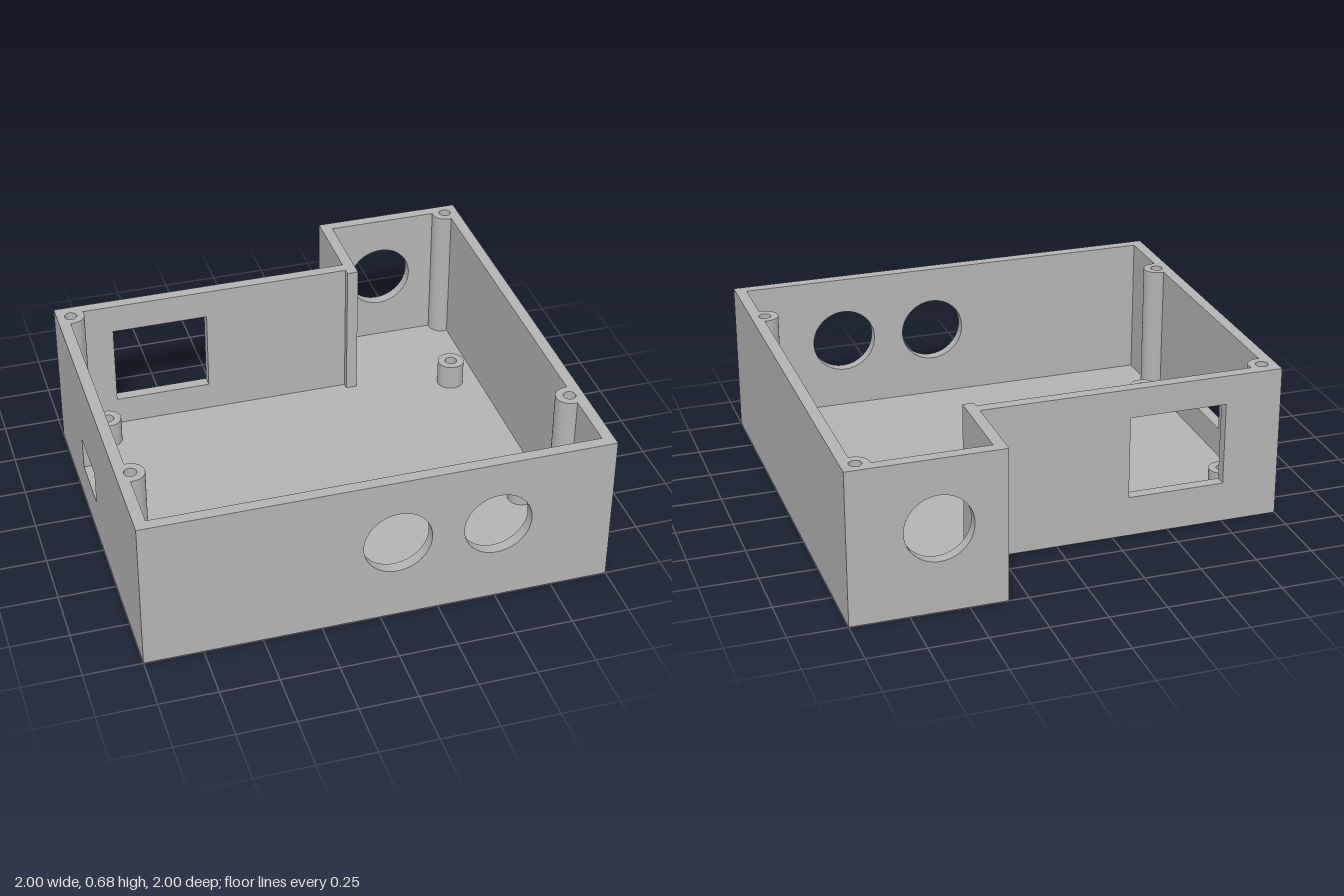
import * as THREE from 'three';
import { toCreasedNormals } from 'three/addons/utils/BufferGeometryUtils.js';

const HEIGHT = 0.68, FLOOR = 0.05, WALL = 0.05;
const POST_R = 0.06, SCREW_R = 0.027;

// Openings: c = position along the wall (world x or z), y = centre height
const FRONT = [{ c: 0.07, y: 0.375, r: 0.146 }, { c: 0.5, y: 0.375, r: 0.146 }];
const BACK_NOTCH = [{ c: 0.622, y: 0.375, r: 0.146 }];
const BACK = [{ c: -0.535, y: 0.365, w: 0.43, h: 0.37 }];
const LEFT = [{ c: 0.01, y: 0.255, w: 0.26, h: 0.15 }];

export function createModel() {
  const model = new THREE.Group();
  const grey = new THREE.MeshStandardMaterial({ color: 0xb3b3b3, side: THREE.DoubleSide });
  grey.name = 'grey plastic';

  const add = (name, geometry, parent = model) => {
    const mesh = new THREE.Mesh(geometry, grey);
    mesh.name = name;
    parent.add(mesh);
    return mesh;
  };

  const circle = (x, y, r) => new THREE.Path().absarc(x, y, r, 0, Math.PI * 2, false);
  const rect = (x, y, w, h) => new THREE.Path([
    [-1, -1], [1, -1], [1, 1], [-1, 1], [-1, -1],
  ].map(([i, j]) => new THREE.Vector2(x + i * w / 2, y + j * h / 2)));

  // Open band that lines a hole, from local z = -depth to 0
  const lining = (path, depth) => {
    const pts = path.getPoints(48), pos = [];
    for (let i = 0; i < pts.length - 1; i++) {
      const a = pts[i], b = pts[i + 1];
      pos.push(a.x, a.y, 0, b.x, b.y, -depth, b.x, b.y, 0);
      pos.push(a.x, a.y, 0, a.x, a.y, -depth, b.x, b.y, -depth);
    }
    const g = new THREE.BufferGeometry();
    g.setAttribute('position', new THREE.Float32BufferAttribute(pos, 3));
    g.computeVertexNormals();
    return toCreasedNormals(g, 0.6);
  };

  // Upright wall face from a to b ([x, z]); its front is on the right-hand side of travel
  const wallFace = (name, a, b, y0, openings = [], depth = 0) => {
    const dx = b[0] - a[0], dz = b[1] - a[1], len = Math.hypot(dx, dz);
    const shape = new THREE.Shape();
    shape.moveTo(0, y0).lineTo(len, y0).lineTo(len, HEIGHT).lineTo(0, HEIGHT);
    const group = new THREE.Group();
    group.name = name;
    for (const o of openings) {
      const u = Math.abs(dx) > Math.abs(dz) ? (o.c - a[0]) * Math.sign(dx) : (o.c - a[1]) * Math.sign(dz);
      const path = o.r ? circle(u, o.y, o.r) : rect(u, o.y, o.w, o.h);
      shape.holes.push(path);
      if (depth) add('openingLining', lining(path, depth), group);
    }
    add('face', new THREE.ShapeGeometry(shape, 48), group);
    group.position.set(a[0], 0, a[1]);
    group.rotation.y = Math.atan2(-dz, dx);
    model.add(group);
  };

  // Horizontal sheet from [x, z] points
  const toShape = (pts) => new THREE.Shape(pts.map(([x, z]) => new THREE.Vector2(x, -z)));
  const sheet = (name, shape, y) => {
    add(name, new THREE.ShapeGeometry(shape, 32).rotateX(-Math.PI / 2)).position.y = y;
  };

  // Outer walls
  const outer = [[-1, 1], [1, 1], [1, -1], [0.335, -1], [0.335, -0.63], [-1, -0.63]];
  const outerOpenings = [FRONT, [], BACK_NOTCH, [], BACK, LEFT];
  const outerNames = ['frontWall', 'leftSideWall', 'backNotchWall', 'notchSideWall', 'backWall', 'rightSideWall'];
  outer.forEach((p, i) =>
    wallFace(outerNames[i], p, outer[(i + 1) % outer.length], 0, outerOpenings[i], WALL));

  // Inner walls: straight runs broken by the corner screw posts
  const e = 0.0588;
  const posts = {
    rightFront: [-0.938, 0.63], rightBack: [-0.938, -0.56],
    leftBack: [0.938, -0.94], leftFront: [0.938, 0.63],
  };
  const inner = [
    { p: [0.95, 0.95], open: FRONT },
    { p: [-0.95, 0.95] },
    { p: [-0.95, 0.63 + e], post: posts.rightFront },
    { p: [-0.95, 0.63 - e], open: LEFT },
    { p: [-0.95, -0.56 + e], post: posts.rightBack },
    { p: [-0.8814, -0.58], open: BACK },
    { p: [0.335, -0.58] },
    { p: [0.335, -0.55] },
    { p: [0.385, -0.55] },
    { p: [0.385, -0.95], open: BACK_NOTCH },
    { p: [0.8788, -0.95], post: posts.leftBack },
    { p: [0.95, -0.94 + e] },
    { p: [0.95, 0.63 - e], post: posts.leftFront },
    { p: [0.95, 0.63 + e] },
  ];
  const contour = [];
  inner.forEach(({ p, open, post }, i) => {
    const q = inner[(i + 1) % inner.length].p;
    contour.push(p);
    if (!post) return wallFace('innerWall', p, q, FLOOR, open);
    // Rounded post side, and the same arc in the rim outline
    const [cx, cz] = post;
    let a0 = Math.atan2(p[1] - cz, p[0] - cx);
    const a1 = Math.atan2(q[1] - cz, q[0] - cx);
    if (a0 < a1) a0 += Math.PI * 2;
    const n = 24, h = HEIGHT - FLOOR;
    for (let k = 1; k < n; k++) {
      const a = a0 + (a1 - a0) * k / n;
      contour.push([cx + POST_R * Math.cos(a), cz + POST_R * Math.sin(a)]);
    }
    const side = new THREE.CylinderGeometry(POST_R, POST_R, h, n, 1, true, Math.PI / 2 - a0, a0 - a1);
    add('screwPost', side).position.set(cx, FLOOR + h / 2, cz);
    const bore = new THREE.CylinderGeometry(SCREW_R, SCREW_R, h, 32, 1, true);
    add('screwHole', bore).position.set(cx, FLOOR + h / 2, cz);
  });

  // Top rim with screw holes
  const rim = toShape(outer);
  rim.holes.push(toShape(contour));
  for (const [x, z] of Object.values(posts)) rim.holes.push(circle(x, -z, SCREW_R));
  sheet('topRim', rim, HEIGHT);

  // Floor, upper and lower faces
  sheet('floorTop', toShape(outer), FLOOR);
  add('underside', new THREE.ShapeGeometry(toShape(outer)).rotateX(-Math.PI / 2).scale(1, 1, 1));

  // Board standoffs
  const ring = new THREE.Shape().absarc(0, 0, POST_R, 0, Math.PI * 2, false);
  ring.holes.push(circle(0, 0, SCREW_R));
  const standoff = toCreasedNormals(
    new THREE.ExtrudeGeometry(ring, { depth: 0.117, bevelEnabled: false, curveSegments: 32 }).rotateX(-Math.PI / 2), 0.6);
  for (const x of [-0.82, 0.82]) {
    for (const z of [-0.465, 0.465]) add('standoff', standoff).position.set(x, FLOOR, z);
  }
  return model;
}
